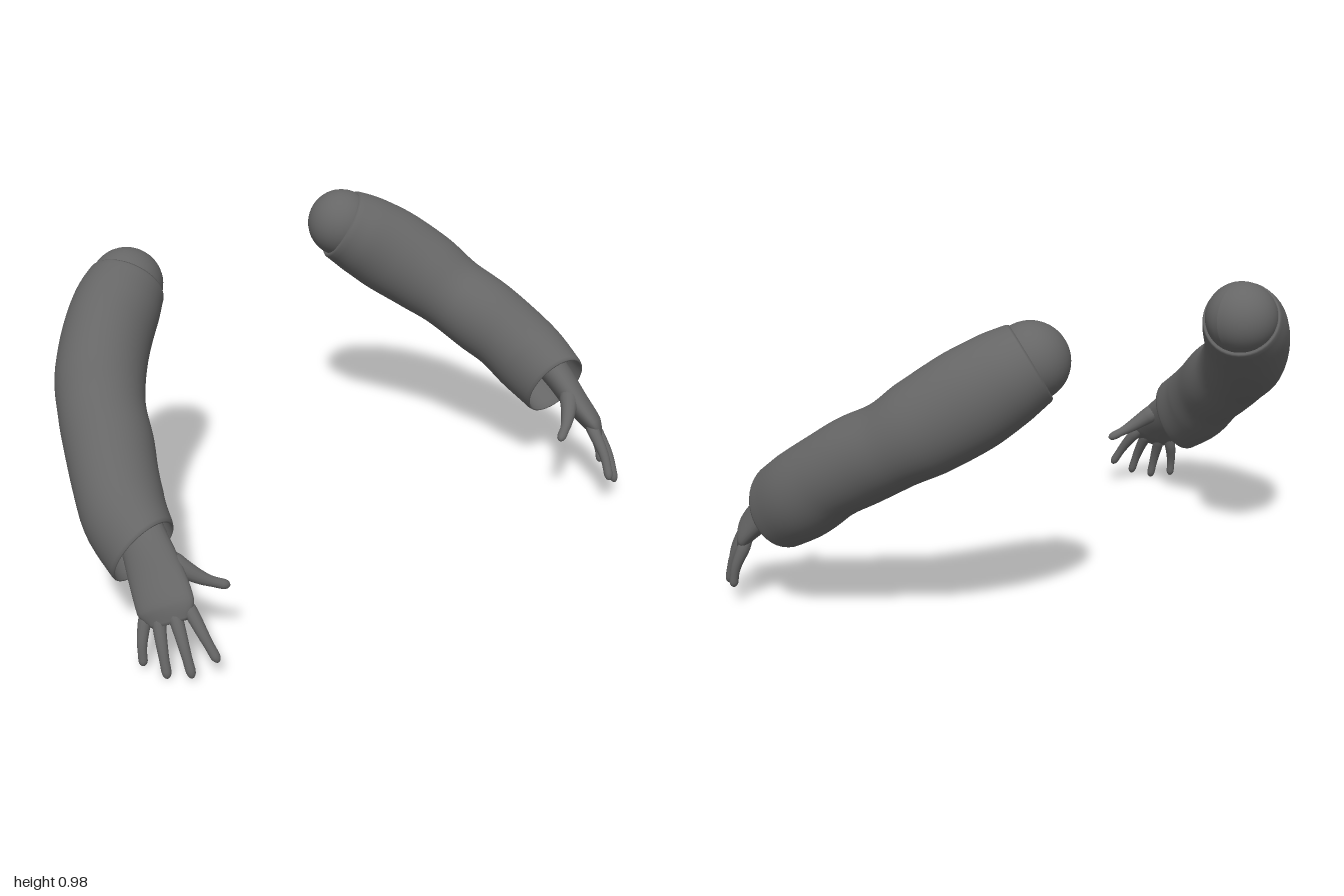
import * as THREE from 'three';

const V = (a) => new THREE.Vector3(...a);
const material = new THREE.MeshStandardMaterial({ color: 0x666666 });
const spline = (pts) => new THREE.CatmullRomCurve3(pts.map(V));

// Skins elliptical rings along a curve.
// rings: [t, radius along "side", radius across it]; side: hint for the first axis.
function loft(name, curve, rings, side, sides, bend) {
  const pos = [], index = [];
  for (const [t, a, b] of rings) {
    const c = curve.getPoint(t), dir = curve.getTangent(t);
    if (bend) bend(dir, t);
    const u = side.clone().addScaledVector(dir, -side.dot(dir)).normalize();
    const v = dir.clone().cross(u);
    for (let j = 0; j < sides; j++) {
      const q = (j / sides) * Math.PI * 2;
      const p = c.clone().addScaledVector(u, a * Math.cos(q)).addScaledVector(v, b * Math.sin(q));
      pos.push(p.x, p.y, p.z);
    }
  }
  for (let i = 0; i < rings.length - 1; i++) {
    for (let j = 0; j < sides; j++) {
      const a = i * sides + j, b = i * sides + (j + 1) % sides;
      index.push(a, b, a + sides, b, b + sides, a + sides);
    }
  }
  const g = new THREE.BufferGeometry();
  g.setAttribute('position', new THREE.Float32BufferAttribute(pos, 3));
  g.setIndex(index);
  g.computeVertexNormals();
  const mesh = new THREE.Mesh(g, material);
  mesh.name = name;
  return mesh;
}

// Finger that swells out of the palm, tapers and ends in a rounded tip
function finger(name, pts, r0, r1) {
  const rings = [];
  for (let i = 0; i <= 16; i++) {
    const t = i / 16 * 0.9;
    const r = (r0 + (r1 - r0) * Math.min(1, t * 1.3)) * THREE.MathUtils.lerp(0.4, 1, Math.min(1, t * 3.5));
    rings.push([t, r, r]);
  }
  for (let i = 1; i <= 6; i++) {
    const q = i / 6 * Math.PI / 2, r = r1 * Math.max(0.001, Math.cos(q));
    rings.push([0.9 + 0.1 * Math.sin(q), r, r]);
  }
  return loft(name, spline(pts), rings, new THREE.Vector3(0.68, 0.58, 0.41), 14);
}

function sleeve() {
  const path = spline([
    [0.457, 0.858, -0.443], [0.525, 0.812, -0.4], [0.61, 0.745, -0.335], [0.698, 0.665, -0.242],
    [0.753, 0.598, -0.15], [0.795, 0.54, -0.05], [0.837, 0.478, 0.045], [0.866, 0.41, 0.135], [0.878, 0.34, 0.25]]);
  // upright and sideways radii at the same stations
  const radii = spline([
    [0.128, 0.128, 0], [0.146, 0.141, 0], [0.156, 0.143, 0], [0.15, 0.143, 0],
    [0.136, 0.137, 0], [0.14, 0.138, 0], [0.136, 0.133, 0], [0.141, 0.13, 0], [0.135, 0.112, 0]]);
  const ring = (t, s) => {
    const r = radii.getPoint(t);
    return [t, r.x * s, r.y * s];
  };
  // tucked shoulder rim, outer cloth, then the hem turning back inside
  const rings = [ring(0.05, 0.75), ring(0.005, 0.9), ring(0, 0.97)];
  for (let i = 0; i <= 40; i++) rings.push(ring(0.01 + 0.98 * i / 40, 1));
  rings.push(ring(1, 0.98), ring(1, 0.93), ring(0.98, 0.9), ring(0.92, 0.85), ring(0.86, 0.8), ring(0.84, 0.02));
  const mouth = new THREE.Vector3(-0.12, -0.43, 0.89).normalize();
  return loft('sleeve', path, rings, new THREE.Vector3(0, 1, 0), 40,
    (dir, t) => dir.lerp(mouth, THREE.MathUtils.smoothstep(t, 0.8, 1)).normalize());
}

function hand() {
  const g = new THREE.Group();
  g.name = 'hand';
  // forearm end, wrist and palm
  const path = spline([[0.868, 0.45, 0.15], [0.88, 0.385, 0.25], [0.893, 0.305, 0.335], [0.909, 0.24, 0.405], [0.917, 0.198, 0.437]]);
  const size = spline([[0.072, 0.055, 0], [0.074, 0.051, 0], [0.086, 0.044, 0], [0.09, 0.034, 0], [0.055, 0.012, 0]]);
  const rings = [];
  for (let i = 0; i <= 24; i++) {
    const r = size.getPoint(i / 24);
    rings.push([i / 24, r.x, r.y]);
  }
  rings.push([1, 0.001, 0.001]);
  g.add(loft('palm', path, rings, new THREE.Vector3(0.67, -0.31, -0.67), 28));

  // each finger: inside the palm, knuckle, middle joint, tip
  g.add(
    finger('indexFinger', [[0.872, 0.282, 0.405], [0.86, 0.23, 0.465], [0.852, 0.17, 0.52], [0.835, 0.1, 0.565]], 0.026, 0.015),
    finger('middleFinger', [[0.892, 0.273, 0.388], [0.9, 0.212, 0.445], [0.907, 0.14, 0.495], [0.905, 0.055, 0.532]], 0.026, 0.015),
    finger('ringFinger', [[0.91, 0.264, 0.37], [0.936, 0.19, 0.41], [0.949, 0.12, 0.445], [0.952, 0.04, 0.472]], 0.025, 0.015),
    finger('littleFinger', [[0.926, 0.256, 0.352], [0.96, 0.178, 0.367], [0.979, 0.12, 0.382], [0.984, 0.055, 0.394]], 0.024, 0.014),
    finger('thumb', [[0.87, 0.37, 0.305], [0.83, 0.328, 0.36], [0.77, 0.282, 0.408], [0.702, 0.25, 0.443]], 0.042, 0.016));
  return g;
}

function arm(name) {
  const g = new THREE.Group();
  g.name = name;
  const cap = new THREE.Mesh(new THREE.SphereGeometry(0.119, 36, 24), material);
  cap.name = 'shoulderCap';
  cap.position.set(0.459, 0.86, -0.442);
  g.add(cap, sleeve(), hand());
  return g;
}

// Mirrors an arm in x, reversing faces so they still point outward
function mirror(group) {
  group.traverse((o) => {
    o.position.x *= -1;
    if (!o.isMesh) return;
    o.geometry.scale(-1, 1, 1);
    const idx = o.geometry.index.array;
    for (let i = 0; i < idx.length; i += 3) [idx[i], idx[i + 1]] = [idx[i + 1], idx[i]];
    o.geometry.computeVertexNormals();
  });
  return group;
}

export function createModel() {
  const model = new THREE.Group();
  model.name = 'sleevedArms';
  model.add(arm('leftArm'));

  // the right arm hangs slightly lower, swung about its shoulder
  const right = mirror(arm('rightArm'));
  const pivot = new THREE.Vector3(0, 0.86, -0.442);
  right.rotation.x = 0.04;
  right.position.copy(pivot).sub(pivot.clone().applyEuler(right.rotation));
  right.position.y -= 0.005;
  model.add(right);
  return model;
}
